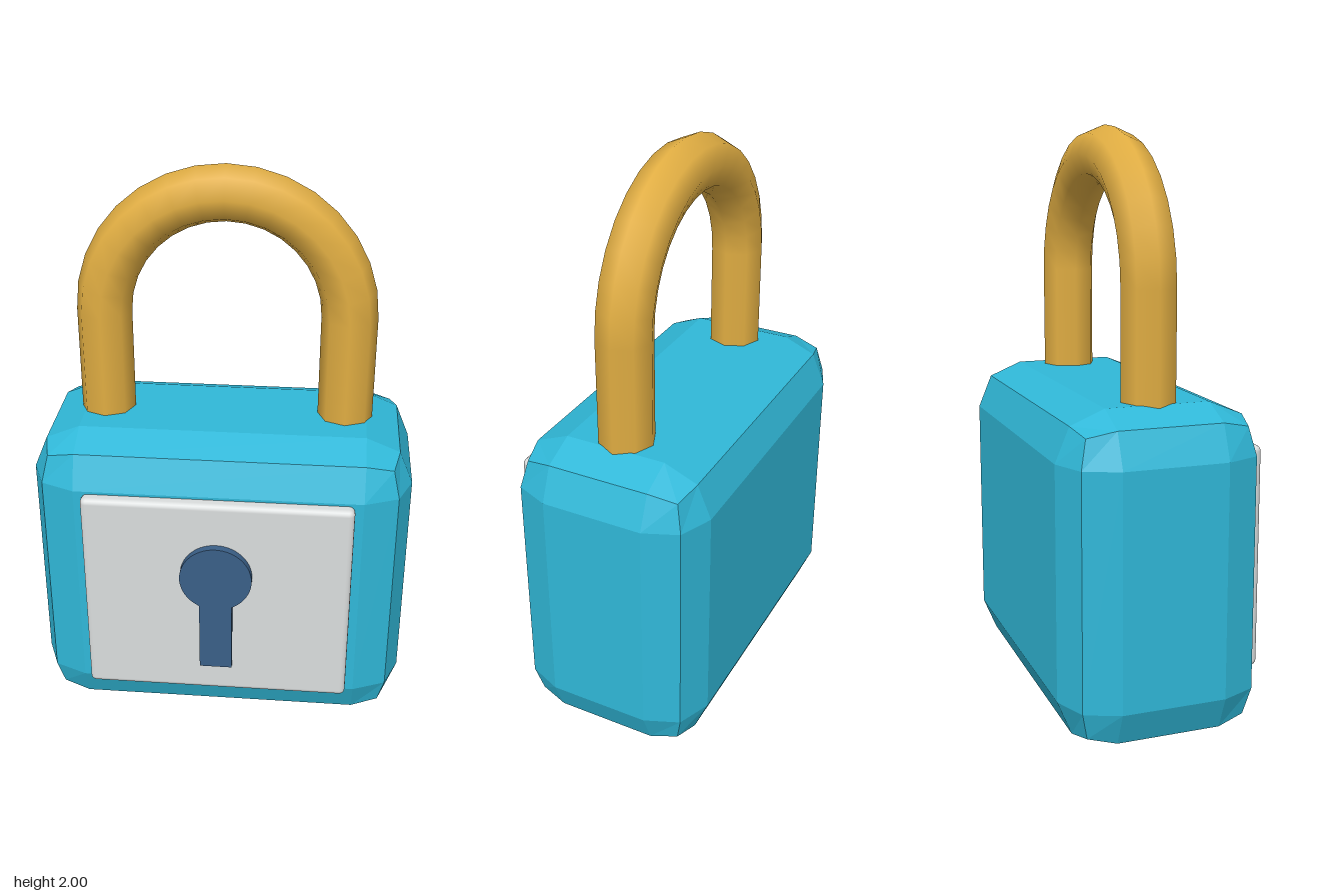
import * as THREE from 'three';
import { RoundedBoxGeometry } from 'three/addons/geometries/RoundedBoxGeometry.js';

function material(name, color, flatShading = false) {
  const m = new THREE.MeshStandardMaterial({ color, flatShading });
  m.name = name;
  return m;
}

export function createModel() {
  const model = new THREE.Group();
  model.name = 'padlock';

  const blue = material('body blue', 0x30b8d8, true);
  const gold = material('shackle gold', 0xe0ad42);
  const grey = material('plate grey', 0xdadddd);
  const navy = material('keyhole navy', 0x3a5f87);

  function add(name, geometry, mat, x, y, z, parent = model) {
    const mesh = new THREE.Mesh(geometry, mat);
    mesh.name = name;
    mesh.position.set(x, y, z);
    parent.add(mesh);
    return mesh;
  }

  // Chunky body with faceted bevels
  add('body', new RoundedBoxGeometry(1.32, 1.12, 0.685, 1, 0.165), blue, 0, 0.56, -0.0375);

  // Shackle: half ring on two straight legs, eight-sided
  const shackle = new THREE.Group();
  shackle.name = 'shackle';
  model.add(shackle);
  const bend = 0.42, tube = 0.096, bendY = 1.484, legBottom = 1.0, shackleZ = -0.04;
  add('shackleArch', new THREE.TorusGeometry(bend, tube, 8, 16, Math.PI), gold, 0, bendY, shackleZ, shackle);
  const legHeight = bendY - legBottom;
  for (const [name, side] of [['leftLeg', 1], ['rightLeg', -1]]) {
    add(name, new THREE.CylinderGeometry(tube, tube, legHeight, 8), gold,
      side * bend, legBottom + legHeight / 2, shackleZ, shackle);
  }

  // Front plate with softened edges
  add('frontPlate', new RoundedBoxGeometry(0.93, 0.78, 0.055, 2, 0.02), grey, 0, 0.56, 0.3245);

  // Raised keyhole: round head running into a straight slot
  const r = 0.125, half = 0.057, slotBottom = -0.375;
  const a = Math.asin(half / r);
  const hole = new THREE.Shape();
  hole.moveTo(-half, slotBottom);
  hole.lineTo(half, slotBottom);
  hole.absarc(0, 0, r, -Math.PI / 2 + a, Math.PI * 1.5 - a, false);
  hole.closePath();
  add('keyhole', new THREE.ExtrudeGeometry(hole, { depth: 0.04, bevelEnabled: false, curveSegments: 24 }),
    navy, 0, 0.67, 0.34);

  return model;
}
